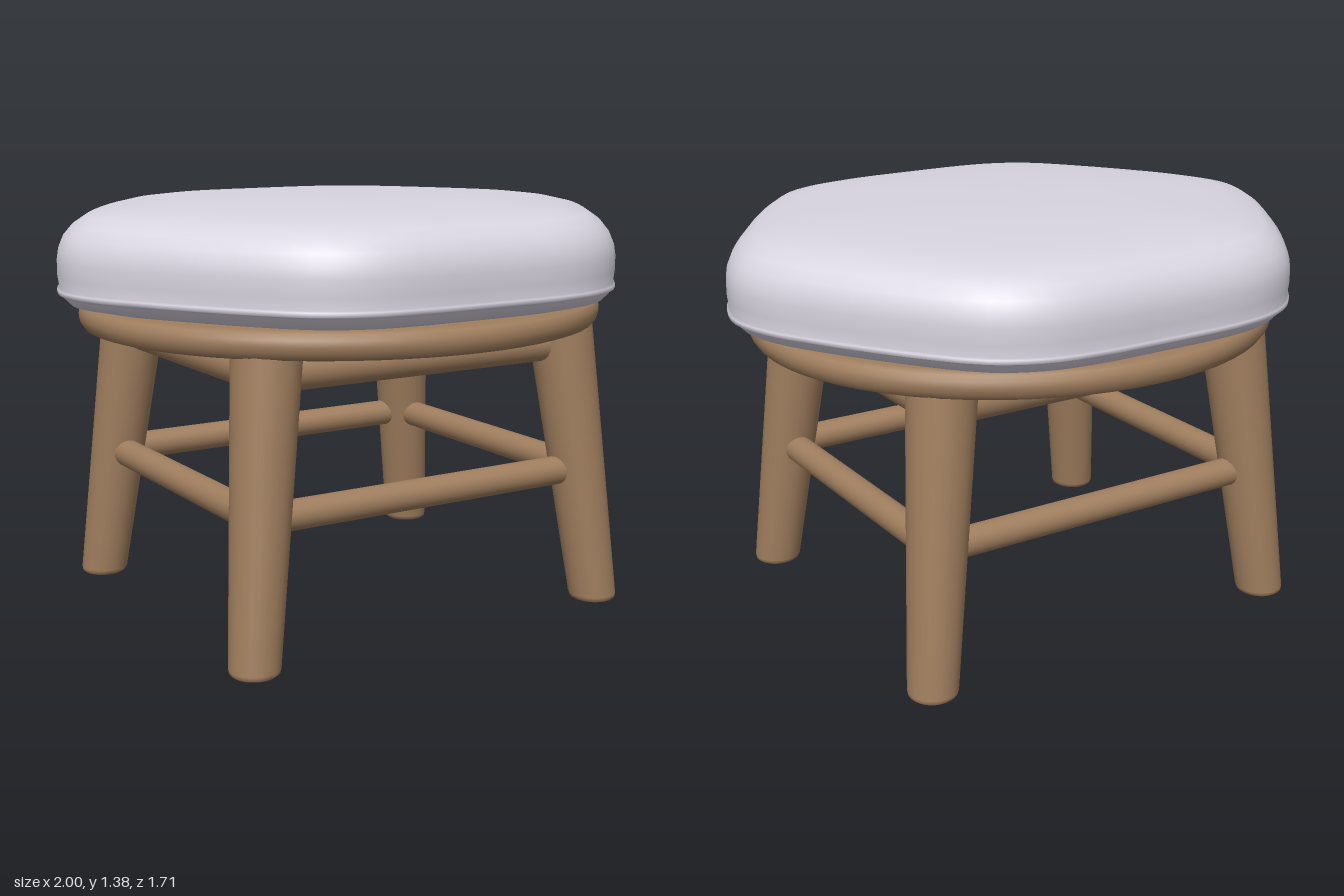
import * as THREE from 'three';
import { mergeVertices } from 'three/addons/utils/BufferGeometryUtils.js';

const WOOD = new THREE.MeshStandardMaterial({ color: 0xa07e5e });
const FABRIC = new THREE.MeshStandardMaterial({ color: 0xd8d4e0 });

// Leg axis end points and radii in the +x +z corner
const FOOT = new THREE.Vector3(0.665, 0, 0.58);
const HEAD = new THREE.Vector3(0.56, 0.96, 0.485);
const legAt = (y) => FOOT.clone().lerp(HEAD, y / HEAD.y);

const lathe = (points, segments) =>
  new THREE.LatheGeometry(points.map(([r, y]) => new THREE.Vector2(r, y)), segments);

function add(parent, name, geometry, material) {
  const mesh = new THREE.Mesh(geometry, material);
  mesh.name = name;
  parent.add(mesh);
  return mesh;
}

// Rounded six-sided outline, one quadrant mirrored to all four
function cushionOutline() {
  const q = [[0, 0.855], [0.26, 0.85], [0.42, 0.82], [0.56, 0.745],
    [0.71, 0.57], [0.9, 0.28], [0.97, 0.14], [1, 0]];
  const half = [...q, ...q.slice(0, -1).reverse().map(([x, z]) => [x, -z])];
  const all = [...half, ...half.slice(1, -1).reverse().map(([x, z]) => [-x, z])];
  return new THREE.CatmullRomCurve3(all.map(([x, z]) => new THREE.Vector3(x, 0, z)), true);
}

// Revolved profile whose rings are re-spread along the outline
function cushionGeometry() {
  const profile = [[0, 1.04], [0.6, 1.04], [0.88, 1.042], [0.96, 1.06], [0.985, 1.085],
    [0.99, 1.092], [1, 1.095], [1, 1.108], [0.993, 1.113], [0.998, 1.15], [0.998, 1.2],
    [0.992, 1.235], [0.975, 1.272], [0.945, 1.305], [0.9, 1.333], [0.81, 1.352],
    [0.7, 1.364], [0.5, 1.376], [0.3, 1.382], [0, 1.385]];
  const segments = 84;
  const geometry = lathe(profile, segments);
  const curve = cushionOutline();
  const pos = geometry.attributes.position;
  for (let i = 0; i < pos.count; i++) {
    const ring = Math.floor(i / profile.length) % segments;
    const scale = profile[i % profile.length][0];
    const p = curve.getPoint(ring / segments);
    pos.setXYZ(i, p.x * scale, pos.getY(i), p.z * scale);
  }
  geometry.deleteAttribute('uv');
  geometry.deleteAttribute('normal');
  const merged = mergeVertices(geometry, 1e-5);
  merged.computeVertexNormals();
  return merged;
}

// Round rail between two points
function addRail(parent, name, a, b, radius) {
  const length = a.distanceTo(b);
  const rail = add(parent, name,
    new THREE.CylinderGeometry(radius, radius, length, 20), WOOD);
  rail.position.copy(a).add(b).multiplyScalar(0.5);
  rail.quaternion.setFromUnitVectors(new THREE.Vector3(0, 1, 0),
    b.clone().sub(a).normalize());
}

export function createModel() {
  const stool = new THREE.Group();
  stool.name = 'footstool';

  add(stool, 'cushion', cushionGeometry(), FABRIC);

  // Oval board with rounded rim
  const board = add(stool, 'seatBoard', lathe([[0, 0.95], [0.955, 0.95], [0.98, 0.957],
    [0.995, 0.975], [1, 0.995], [0.998, 1.015], [0.985, 1.032], [0.96, 1.042],
    [0, 1.042]], 64), WOOD);
  board.scale.set(0.9, 1, 0.83);

  // Tapered, splayed legs with eased feet
  const legProfile = [[0, 0], [0.07, 0], [0.07, 0], [0.078, 0.006], [0.081, 0.018],
    [0.11, 0.96], [0.11, 0.96], [0, 0.96]];
  const legGeometry = lathe(legProfile, 28);
  for (const sx of [1, -1]) for (const sz of [1, -1]) {
    const name = (sz > 0 ? 'front' : 'back') + (sx > 0 ? 'Left' : 'Right') + 'Leg';
    const leg = add(stool, name, legGeometry.clone(), WOOD);
    // Shear keeps the foot and head level
    leg.geometry.applyMatrix4(new THREE.Matrix4().set(
      1, sx * (HEAD.x - FOOT.x) / HEAD.y, 0, sx * FOOT.x,
      0, 1, 0, 0,
      0, sz * (HEAD.z - FOOT.z) / HEAD.y, 1, sz * FOOT.z,
      0, 0, 0, 1));
  }

  // Upper and lower rails on all four sides
  for (const [level, y, radius] of [['upper', 0.89, 0.056], ['lower', 0.46, 0.048]]) {
    const { x, z } = legAt(y);
    const corner = (sx, sz) => new THREE.Vector3(sx * x, y, sz * z);
    addRail(stool, level + 'FrontRail', corner(-1, 1), corner(1, 1), radius);
    addRail(stool, level + 'BackRail', corner(-1, -1), corner(1, -1), radius);
    addRail(stool, level + 'LeftRail', corner(1, -1), corner(1, 1), radius);
    addRail(stool, level + 'RightRail', corner(-1, -1), corner(-1, 1), radius);
  }
  return stool;
}
